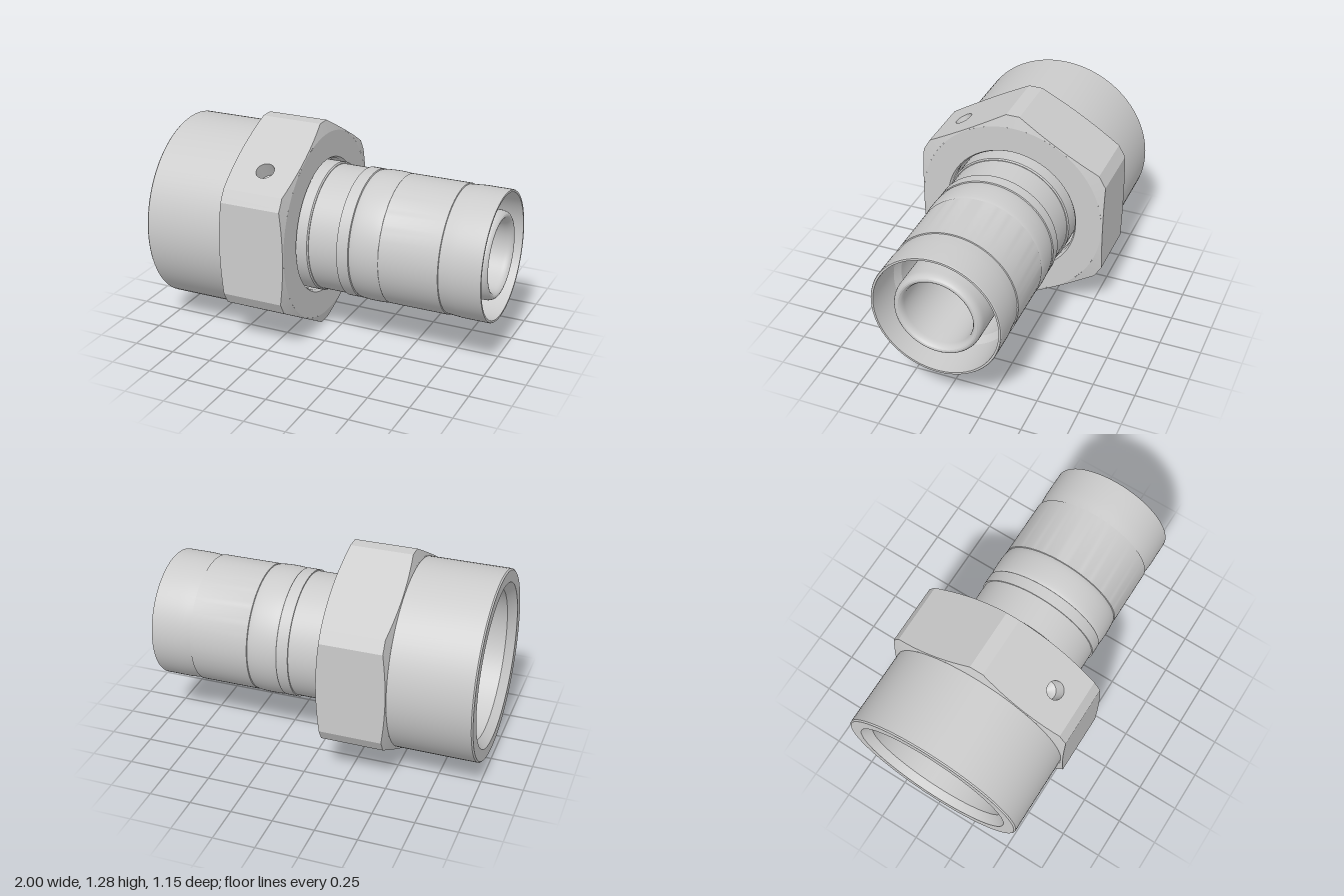
import * as THREE from 'three';
import { toCreasedNormals } from 'three/addons/utils/BufferGeometryUtils.js';

const AXIS_Y = 0.64;
const grey = new THREE.MeshStandardMaterial({ color: 0xcccccc });
const greyDouble = new THREE.MeshStandardMaterial({ color: 0xcccccc, side: THREE.DoubleSide });

function add(group, name, geometry, material = grey) {
  const mesh = new THREE.Mesh(geometry, material);
  mesh.name = name;
  group.add(mesh);
  return mesh;
}

// Turned part about the x axis from [x, radius] points
function turned(profile) {
  const geo = new THREE.LatheGeometry(profile.map(([x, r]) => new THREE.Vector2(r, x)), 96);
  geo.rotateZ(-Math.PI / 2);
  return toCreasedNormals(geo, 0.4);
}

// Points of a quarter or half round in the [x, radius] plane
function arc(cx, cr, rx, rr, from, to, n = 10) {
  return Array.from({ length: n + 1 }, (_, i) => {
    const a = from + (to - from) * i / n;
    return [cx + rx * Math.cos(a), cr + rr * Math.sin(a)];
  });
}

// Hexagon dimensions
const X0 = -0.51, X1 = -0.1, FLAT = 0.575, CORNER = 0.64, CHAMFER_R = 0.568, SLOPE = 0.28;
const CORNER_HALF = (FLAT / Math.cos(Math.PI / 6) - CORNER) * Math.sqrt(3);
const FLAT_HALF = Math.sqrt(CORNER * CORNER + CORNER_HALF * CORNER_HALF - FLAT * FLAT);
const inset = (d, u) => SLOPE * (Math.hypot(d, u) - CHAMFER_R);

// One side of the hexagon, its two long edges curved by the chamfer cones
function sideShape(d, half, steps) {
  const pts = [];
  for (let i = 0; i <= steps; i++) {
    const u = -half + 2 * half * i / steps;
    pts.push(new THREE.Vector2(u, X0 + inset(d, u)));
  }
  for (let i = steps; i >= 0; i--) {
    const u = -half + 2 * half * i / steps;
    pts.push(new THREE.Vector2(u, X1 - inset(d, u)));
  }
  return new THREE.Shape(pts);
}

// Conical chamfer strips at both ends of one side
function sideChamfers(d, half, steps) {
  const pos = [], index = [], normal = [];
  for (const end of [0, 1]) {
    const base = pos.length / 3;
    const dir = end ? 1 : -1, nl = Math.hypot(1, SLOPE);
    for (let i = 0; i <= steps; i++) {
      const u = -half + 2 * half * i / steps;
      const h = Math.hypot(d, u), k = CHAMFER_R / h, x = end ? X1 : X0;
      pos.push(u * k, x, d * k - d, u, x - dir * inset(d, u), 0);
      for (let j = 0; j < 2; j++) normal.push(SLOPE * u / h / nl, dir / nl, SLOPE * d / h / nl);
      if (i < steps) {
        const a = base + 2 * i, b = a + 1, c = a + 2, e = a + 3;
        if (end) index.push(a, b, c, b, e, c);
        else index.push(a, c, b, b, c, e);
      }
    }
  }
  const geo = new THREE.BufferGeometry();
  geo.setAttribute('position', new THREE.Float32BufferAttribute(pos, 3));
  geo.setAttribute('normal', new THREE.Float32BufferAttribute(normal, 3));
  geo.setIndex(index);
  return geo;
}

function makeHexagon() {
  const hex = new THREE.Group();
  hex.name = 'hexagon';
  const HOLE = { u: 0.115, x: -0.3, r: 0.054 };
  for (let i = 0; i < 12; i++) {
    const isFlat = i % 2 === 1;
    const a = i * Math.PI / 6;
    const d = isFlat ? FLAT : CORNER, half = isFlat ? FLAT_HALF : CORNER_HALF;
    const steps = isFlat ? 20 : 4;
    const normal = new THREE.Vector3(0, Math.cos(a), Math.sin(a));
    const place = new THREE.Matrix4()
      .makeBasis(new THREE.Vector3(0, -Math.sin(a), Math.cos(a)), new THREE.Vector3(1, 0, 0), normal)
      .setPosition(normal.clone().multiplyScalar(d));

    const shape = sideShape(d, half, steps);
    if (i === 1) {
      // Small drilled hole in the upper front flat
      const path = new THREE.Path();
      path.absarc(HOLE.u, HOLE.x, HOLE.r, 0, Math.PI * 2, true);
      shape.holes.push(path);
      const drill = new THREE.LatheGeometry(
        [[HOLE.r, 0], [HOLE.r, -0.1], [0, -0.13]].map(([r, y]) => new THREE.Vector2(r, y)), 24);
      drill.rotateX(Math.PI / 2).translate(HOLE.u, HOLE.x, 0).applyMatrix4(place);
      add(hex, 'drilledHole', toCreasedNormals(drill, 0.5), greyDouble);
    }
    add(hex, isFlat ? 'hexFlat' : 'hexCorner', new THREE.ShapeGeometry(shape).applyMatrix4(place));
    add(hex, 'hexChamfer', sideChamfers(d, half, steps).applyMatrix4(place));
  }
  return hex;
}

export function createModel() {
  const model = new THREE.Group();
  model.name = 'hoseFitting';
  const parts = new THREE.Group();
  parts.position.y = AXIS_Y;
  model.add(parts);

  // Swivel nut: bore, mouth and round sleeve, then the hexagon
  const nut = new THREE.Group();
  nut.name = 'nut';
  add(nut, 'nutSleeveAndBore', turned([
    [X1, CHAMFER_R], [X1, 0.41], [-0.115, 0.4], [-0.18, 0.4], [-0.2, 0.44],
    [-0.95, 0.44], [-1, 0.485], [-1, 0.555], [-0.992, 0.563], [X0, 0.563], [X0, CHAMFER_R],
  ]));
  nut.add(makeHexagon());
  parts.add(nut);

  // Outer ferrule with collar, crimp bulge and open pocket at the hose end
  add(parts, 'ferrule', turned([
    [-0.6, 0.265], [-0.4, 0.385], [-0.045, 0.387], [-0.038, 0.38], [-0.038, 0.376],
    [0.14, 0.376], [0.14, 0.384], [0.21, 0.384], [0.213, 0.377],
    ...arc(0.303, 0.377, 0.09, 0.01, Math.PI, 0, 14).slice(1),
    [0.395, 0.383], [0.75, 0.383], [0.752, 0.377], [0.79, 0.38], [0.84, 0.384], [0.995, 0.384],
    [1, 0.381], [1, 0.369], [0.75, 0.365], [0.7, 0.342], [0.2, 0.342], [0.2, 0.25],
  ]));

  // Inner nipple with rounded lips at both ends and a through bore
  add(parts, 'nipple', turned([
    ...arc(-0.6, 0.236, 0.045, 0.029, Math.PI * 1.5, Math.PI * 0.5),
    [-0.57, 0.26], [0.93, 0.26],
    ...arc(0.945, 0.2335, 0.045, 0.0265, Math.PI * 0.5, -Math.PI * 0.5),
    [-0.6, 0.207],
  ]));

  return model;
}
